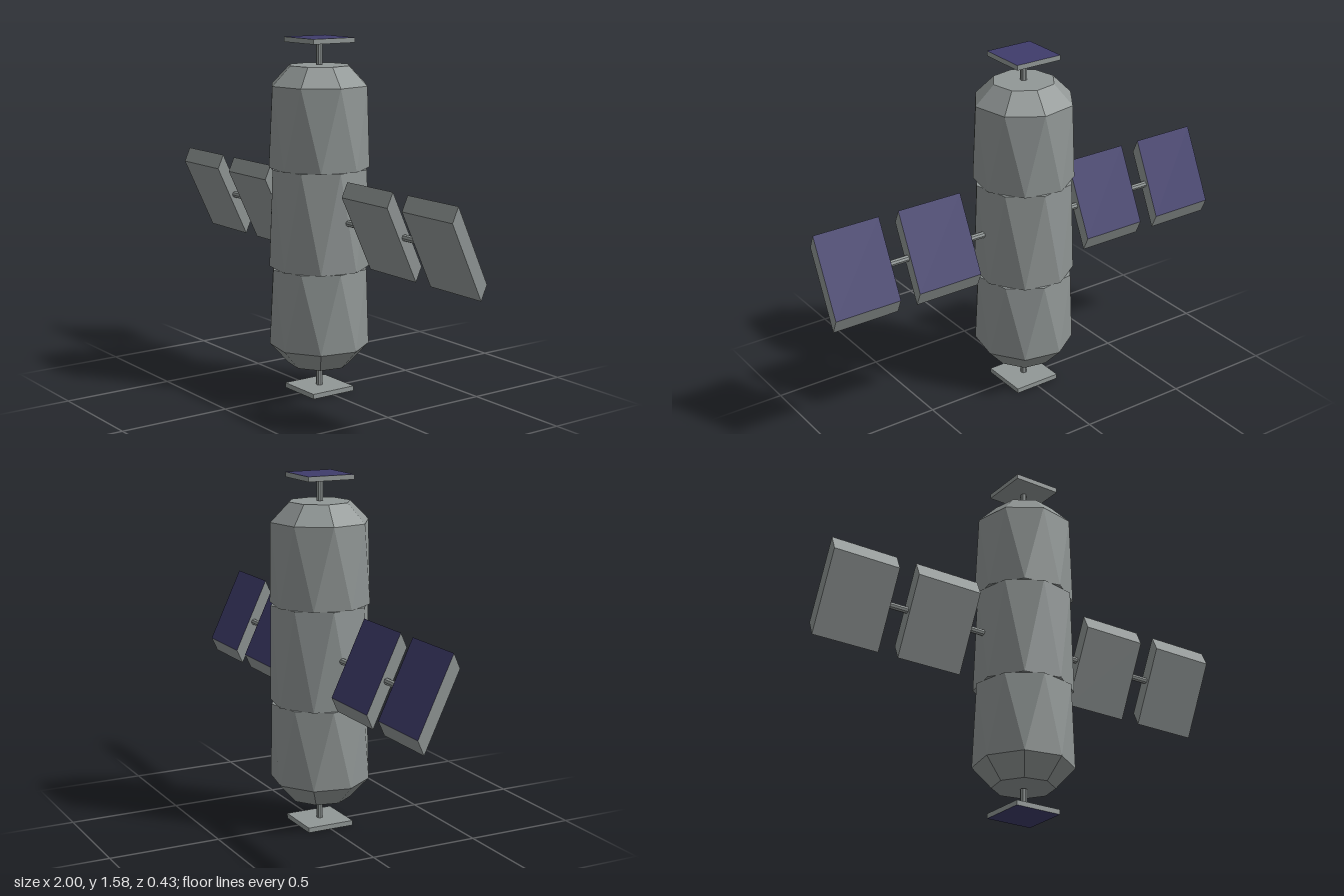
import * as THREE from 'three';

const SIDES = 8;
const STEP = (Math.PI * 2) / SIDES;
const PHASE_A = STEP * 0.75; // upper ring of each drum
const PHASE_B = STEP * 0.25; // lower ring, turned half a step

// Closed low-poly drum between two octagonal rings
function drumGeometry(yTop, rTop, phTop, yBot, rBot, phBot) {
  const pos = [];
  const ring = (y, r, ph, i) => [r * Math.sin(ph + i * STEP), y, r * Math.cos(ph + i * STEP)];
  for (let i = 0; i < SIDES; i++) {
    const t0 = ring(yTop, rTop, phTop, i), t1 = ring(yTop, rTop, phTop, i + 1);
    const b0 = ring(yBot, rBot, phBot, i), b1 = ring(yBot, rBot, phBot, i + 1);
    pos.push(...t0, ...b0, ...b1, ...t0, ...b1, ...t1);
    pos.push(0, yTop, 0, ...t0, ...t1, 0, yBot, 0, ...b1, ...b0);
  }
  const g = new THREE.BufferGeometry();
  g.setAttribute('position', new THREE.Float32BufferAttribute(pos, 3));
  g.computeVertexNormals();
  return g;
}

export function createModel() {
  const model = new THREE.Group();
  const metal = new THREE.MeshStandardMaterial({ color: 0x919796, flatShading: true });
  metal.name = 'grey metal';
  const solar = new THREE.MeshStandardMaterial({ color: 0x3f3c6b, flatShading: true });
  solar.name = 'solar blue';

  const add = (name, geometry, material, x = 0, y = 0, z = 0) => {
    const mesh = new THREE.Mesh(geometry, material);
    mesh.name = name;
    mesh.position.set(x, y, z);
    model.add(mesh);
    return mesh;
  };

  // Hull: three twisted drums between two tapered ends
  const R = 0.221, END_R = 0.137;
  const levels = [1.375, 1.012, 0.57, 0.215];
  for (let i = 0; i < 3; i++) {
    add('hullDrum', drumGeometry(levels[i], R, PHASE_A, levels[i + 1], R, PHASE_B), metal);
  }
  add('topTaper', drumGeometry(1.46, END_R, PHASE_A, 1.375, R, PHASE_A), metal);
  add('bottomTaper', drumGeometry(0.215, R, PHASE_B, 0.125, END_R, PHASE_B), metal);

  // End masts and square plates, blue on the outward face
  const mast = new THREE.CylinderGeometry(0.0145, 0.0145, 0.1, 8);
  const plate = new THREE.BoxGeometry(0.22, 0.022, 0.22);
  add('topMast', mast, metal, 0, 1.512, 0);
  add('bottomMast', mast, metal, 0, 0.07, 0);
  add('topPlate', plate, [metal, metal, solar, metal, metal, metal], 0, 1.569, 0);
  add('bottomPlate', plate, [metal, metal, metal, solar, metal, metal], 0, 0.011, 0);

  // Slanted solar panels, blue on the upper rear face
  const panel = new THREE.BoxGeometry(0.308, 1, 1);
  panel.applyMatrix4(new THREE.Matrix4().makeBasis(
    new THREE.Vector3(1, 0, 0),
    new THREE.Vector3(0, 0.328, 0.155),
    new THREE.Vector3(0, -0.064, 0.029)
  ));
  panel.computeVertexNormals();
  const panelMaterials = [metal, metal, metal, metal, metal, solar];
  const strut = new THREE.CylinderGeometry(0.0145, 0.0145, 0.12, 8).rotateZ(Math.PI / 2);
  for (const side of [1, -1]) {
    const label = side > 0 ? 'left' : 'right';
    add(label + 'InnerPanel', panel, panelMaterials, side * 0.444, 0.794, 0);
    add(label + 'OuterPanel', panel, panelMaterials, side * 0.846, 0.794, 0);
    add(label + 'InnerStrut', strut, metal, side * 0.24, 0.794, 0);
    add(label + 'OuterStrut', strut, metal, side * 0.645, 0.794, 0);
  }
  return model;
}
